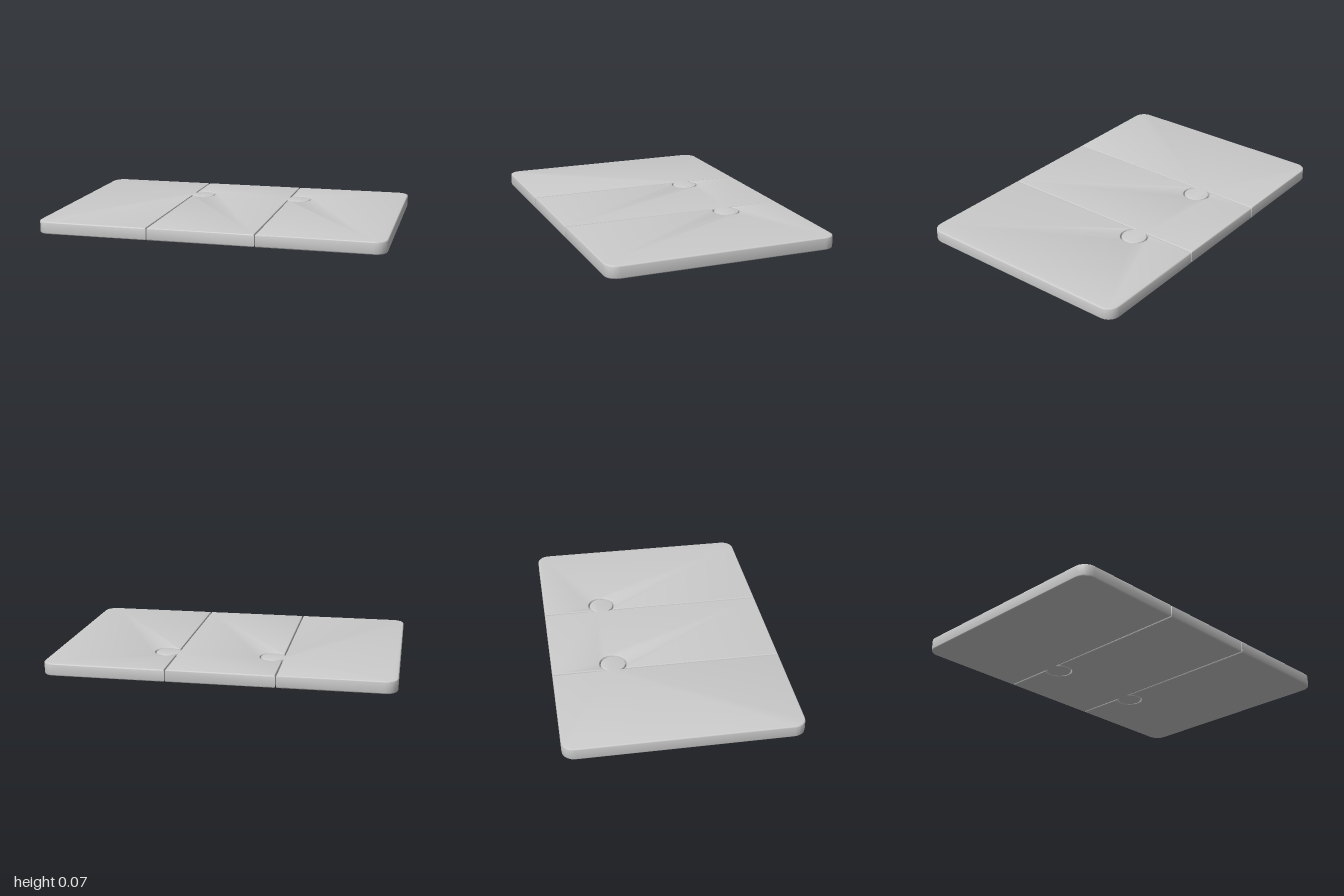
import * as THREE from 'three';
import { toCreasedNormals } from 'three/addons/utils/BufferGeometryUtils.js';

const HALF_W = 1, HALF_D = 0.666, HEIGHT = 0.072, BEVEL = 0.007;
const CORNER = 0.07, GAP = 0.003;
const SEAMS = [-0.338, 0.283];
const KNOB = { z: -0.307, offset: 0.06, radius: 0.077 };

// Interlocking edge, listed front to back; side -1 is the knob, +1 the socket
function seamPoints(seam, side) {
  const x = seam + side * GAP;
  const r = KNOB.radius + side * GAP;
  const cx = seam + KNOB.offset, cy = -KNOB.z;
  const open = Math.acos((x - cx) / r);
  const points = [new THREE.Vector2(x, -HALF_D)];
  for (let i = 0; i <= 14; i++) {
    const a = -open + (2 * open * i) / 14;
    points.push(new THREE.Vector2(cx + r * Math.cos(a), cy + r * Math.sin(a)));
  }
  points.push(new THREE.Vector2(x, HALF_D));
  return points;
}

// Outer end with two rounded corners, listed front to back; dir is -1 or +1
function endPoints(dir) {
  const points = [];
  for (const end of [-1, 1]) {
    for (let i = 0; i <= 5; i++) {
      const t = (end < 0 ? i : 5 - i) / 5 * Math.PI / 2;
      points.push(new THREE.Vector2(
        dir * (HALF_W - CORNER + CORNER * Math.sin(t)),
        end * (HALF_D - CORNER + CORNER * Math.cos(t))));
    }
  }
  return points;
}

// Slab between two edges, with softly rounded rims
function slab(name, leftEdge, rightEdge) {
  const shape = new THREE.Shape([...rightEdge, ...leftEdge.reverse()]);
  const geometry = new THREE.ExtrudeGeometry(shape, {
    depth: HEIGHT - 2 * BEVEL, bevelEnabled: true, bevelThickness: BEVEL,
    bevelSize: BEVEL, bevelOffset: -BEVEL, bevelSegments: 3,
  });
  geometry.translate(0, 0, BEVEL).rotateX(-Math.PI / 2);
  const mesh = new THREE.Mesh(toCreasedNormals(geometry, 0.65),
    new THREE.MeshStandardMaterial({ color: 0xcccccc }));
  mesh.name = name;
  return mesh;
}

export function createModel() {
  const group = new THREE.Group();
  group.name = 'puzzleBoard';
  group.add(
    slab('rightPiece', endPoints(-1), seamPoints(SEAMS[0], -1)),
    slab('middlePiece', seamPoints(SEAMS[0], 1), seamPoints(SEAMS[1], -1)),
    slab('leftPiece', seamPoints(SEAMS[1], 1), endPoints(1)),
  );
  return group;
}
